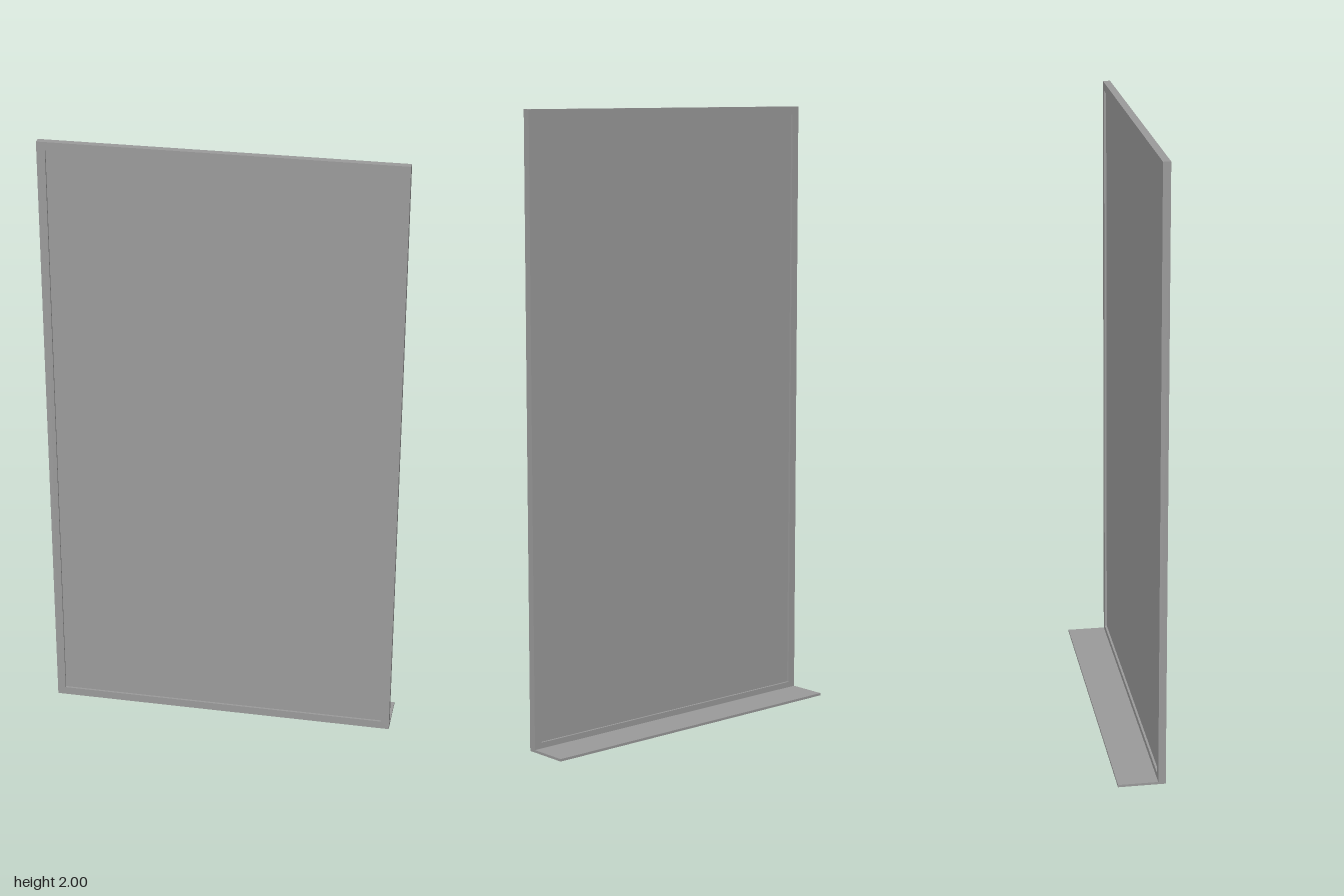
import * as THREE from 'three';

export function createModel() {
  const model = new THREE.Group();
  const material = new THREE.MeshStandardMaterial({ color: 0x9b9b9b, flatShading: true });
  const W = 1.143, H = 2, border = 0.027;
  const zFront = 0.076, zBack = 0.052, zRear = -0.076;

  const add = (name, geometry, x, y, z) => {
    const mesh = new THREE.Mesh(geometry, material);
    mesh.name = name;
    mesh.position.set(x, y, z);
    model.add(mesh);
  };
  const rect = (Type, w, h) => new Type([
    new THREE.Vector2(-w / 2, -h / 2), new THREE.Vector2(w / 2, -h / 2),
    new THREE.Vector2(w / 2, h / 2), new THREE.Vector2(-w / 2, h / 2),
  ]);

  // Rectangular frame with an open middle
  const outline = rect(THREE.Shape, W, H);
  outline.holes.push(rect(THREE.Path, W - 2 * border, H - 2 * border));
  add('frame', new THREE.ExtrudeGeometry(outline, { depth: zFront - zBack, bevelEnabled: false }), 0, H / 2, zBack);

  // Thin panel, recessed on both faces
  add('panel', new THREE.BoxGeometry(W - 2 * border, H - 2 * border, 0.01), 0, H / 2, (zFront + zBack) / 2);

  // Flat foot plate reaching backwards
  add('footPlate', new THREE.BoxGeometry(W, 0.008, zBack - zRear), 0, 0.004, (zBack + zRear) / 2);

  return model;
}
